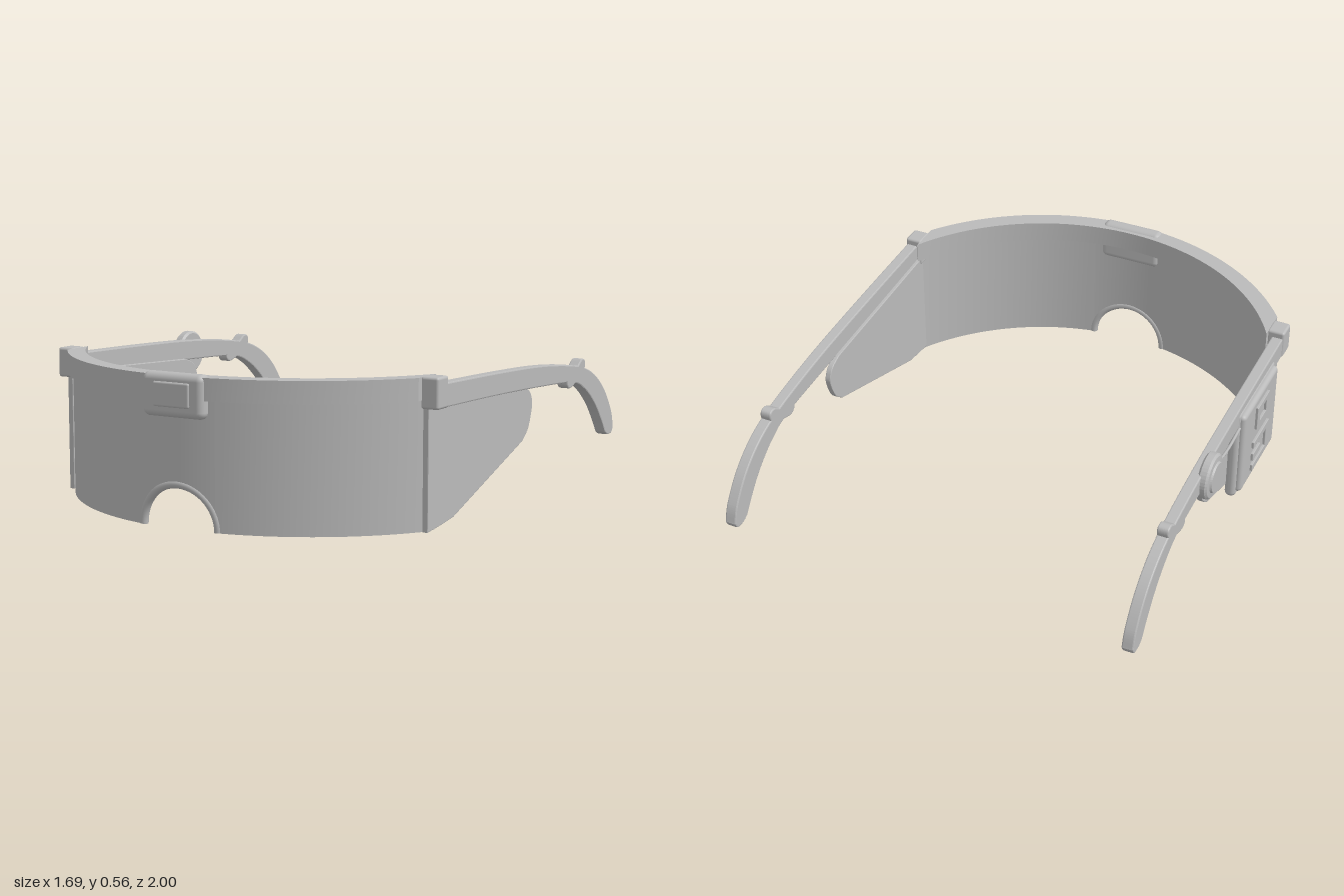
import * as THREE from 'three';
import { RoundedBoxGeometry } from 'three/addons/geometries/RoundedBoxGeometry.js';

const ARC_Z = 0.04;      // centre of the visor curve
const NOTCH = 0.155;     // nose notch radius

export function createModel() {
  const model = new THREE.Group();
  model.name = 'visorGlasses';
  const body = new THREE.Group();
  body.name = 'visorBody';
  body.position.x = 0.015;
  model.add(body);
  const grey = new THREE.MeshStandardMaterial({ color: 0xbababa });
  grey.name = 'matte grey';

  const add = (name, geo, x = 0, y = 0, z = 0) => {
    const m = new THREE.Mesh(geo, grey);
    m.name = name;
    m.position.set(x, y, z);
    body.add(m);
    return m;
  };
  const block = (name, x0, x1, y0, y1, z0, z1, r = 0.01) =>
    add(name, new RoundedBoxGeometry(x1 - x0, y1 - y0, z1 - z0, 3, r),
      (x0 + x1) / 2, (y0 + y1) / 2, (z0 + z1) / 2);

  // Box bent round the visor curve, with one column per x sample
  const bentBand = (xs, rIn, rOut, bottom, top) => {
    const n = xs.length - 1;
    const geo = new THREE.BoxGeometry(1, 1, 1, n, 1, 1);
    const p = geo.attributes.position;
    for (let i = 0; i < p.count; i++) {
      const x = xs[Math.round((p.getX(i) + 0.5) * n)];
      const r = p.getZ(i) > 0 ? rOut : rIn;
      p.setXYZ(i, x, p.getY(i) > 0 ? top : bottom(x), ARC_Z + Math.sqrt(r * r - x * x));
    }
    geo.computeVertexNormals();
    return geo;
  };
  const arcSamples = (half, n, r) => {
    const a = Math.asin(half / r);
    return Array.from({ length: n + 1 }, (_, i) => r * Math.sin(-a + (2 * a * i) / n));
  };

  // Curved lens with an arched nose notch
  const xs = arcSamples(0.78, 48, 0.925).filter((x) => Math.abs(x) > NOTCH + 0.004);
  for (let i = 0; i <= 28; i++) xs.push(-NOTCH * Math.cos((Math.PI * i) / 28));
  xs.sort((a, b) => a - b);
  add('lens', bentBand(xs, 0.903, 0.925,
    (x) => Math.sqrt(Math.max(0, NOTCH * NOTCH - x * x)), 0.48));

  // Raised rim around the notch
  const rim = [];
  for (let i = 0; i <= 24; i++) {
    const a = (Math.PI * i) / 24;
    const x = -0.16 * Math.cos(a);
    rim.push(new THREE.Vector3(x, 0.16 * Math.sin(a), ARC_Z + Math.sqrt(0.914 ** 2 - x * x)));
  }
  add('noseRim', new THREE.TubeGeometry(new THREE.CatmullRomCurve3(rim), 48, 0.016, 10));

  // Brow bar
  add('browBar', bentBand(arcSamples(0.765, 56, 0.94), 0.877, 0.945, () => 0.468, 0.55));

  // Front badge: housing, raised frame and inset panel
  block('badgeHousing', -0.13, 0.13, 0.4, 0.558, 0.925, 0.992, 0.025);
  block('badgePanel', -0.077, 0.077, 0.438, 0.528, 0.98, 0.998, 0.008);

  // Side profiles are drawn as (-z, y) and extruded along x
  const sidePlate = (name, shape, x0, x1, bevel = 0.005) => {
    const geo = new THREE.ExtrudeGeometry(shape, {
      depth: x1 - x0 - 2 * bevel, bevelEnabled: true, bevelThickness: bevel,
      bevelSize: bevel, bevelOffset: -bevel, bevelSegments: 2, curveSegments: 10,
    });
    geo.rotateY(Math.PI / 2);
    return add(name, geo, x0 + bevel);
  };
  const v = (z, y) => new THREE.Vector2(-z, y);

  // Temple arm with a hooked, rounded ear end
  const arm = new THREE.Shape();
  arm.moveTo(-0.53, 0.44);
  arm.splineThru([v(0.1, 0.43), v(-0.3, 0.414), v(-0.58, 0.395), v(-0.7, 0.355),
    v(-0.8, 0.285), v(-0.87, 0.21), v(-0.915, 0.15)]);
  arm.splineThru([v(-0.945, 0.136), v(-0.985, 0.14), v(-1, 0.165)]);
  arm.splineThru([v(-0.975, 0.235), v(-0.9, 0.33), v(-0.8, 0.402), v(-0.68, 0.446),
    v(-0.5, 0.475), v(-0.25, 0.498), v(0.1, 0.514), v(0.53, 0.527)]);
  arm.closePath();

  // Small grip nubs above and below the arm
  const topNub = new THREE.Shape();
  topNub.moveTo(0.58, 0.44);
  topNub.splineThru([v(-0.625, 0.453), v(-0.665, 0.478), v(-0.692, 0.476), v(-0.7, 0.455), v(-0.69, 0.42)]);
  topNub.closePath();
  const lowNub = new THREE.Shape();
  lowNub.moveTo(0.53, 0.42);
  lowNub.splineThru([v(-0.53, 0.39), v(-0.55, 0.376), v(-0.58, 0.38), v(-0.63, 0.4), v(-0.64, 0.42)]);
  lowNub.closePath();

  // Tapering side shield
  const shield = new THREE.Shape();
  shield.moveTo(-0.565, 0);
  shield.splineThru([v(0.46, 0.01), v(0.37, 0.022)]);
  shield.lineTo(0.2, 0.215);
  shield.splineThru([v(-0.25, 0.26), v(-0.28, 0.335), v(-0.275, 0.375), v(-0.25, 0.405), v(-0.2, 0.425)]);
  shield.lineTo(-0.565, 0.465);
  shield.closePath();

  for (const [side, s] of [['left', 1], ['right', -1]]) {
    const at = (a, b) => (s > 0 ? [a, b] : [-b, -a]);
    sidePlate(side + 'Arm', arm, ...at(0.78, 0.825));
    sidePlate(side + 'UpperNub', topNub, ...at(0.78, 0.825));
    sidePlate(side + 'LowerNub', lowNub, ...at(0.78, 0.825));
    sidePlate(side + 'Shield', shield, ...at(0.767, 0.79), 0.003);
    block(side + 'Hinge', ...at(0.76, 0.83), 0.438, 0.552, 0.492, 0.572, 0.01);
  }

  // Electronics pod on the right side
  block('podBase', -0.83, -0.785, 0.09, 0.49, 0.005, 0.41, 0.02);
  block('podCover', -0.848, -0.81, 0.11, 0.475, 0.02, 0.395, 0.018);
  block('podFoot', -0.825, -0.8, 0.072, 0.12, 0.16, 0.24, 0.01);

  // Raised square ring and abstract ribs on the pod cover
  const ring = new THREE.Shape();
  ring.moveTo(-0.27, 0.34);
  for (const [z, y] of [[0.14, 0.34], [0.14, 0.44], [0.27, 0.44]]) ring.lineTo(-z, y);
  ring.closePath();
  const hole = new THREE.Path();
  hole.moveTo(-0.24, 0.365);
  for (const [z, y] of [[0.24, 0.415], [0.17, 0.415], [0.17, 0.365]]) hole.lineTo(-z, y);
  hole.closePath();
  ring.holes.push(hole);
  sidePlate('podRing', ring, -0.858, -0.845, 0.002);
  for (const [y0, y1, z0, z1] of [[0.15, 0.18, 0.12, 0.29], [0.15, 0.29, 0.26, 0.29],
    [0.26, 0.29, 0.12, 0.29], [0.2, 0.235, 0.12, 0.2]]) {
    block('podRib', -0.858, -0.845, y0, y1, z0, z1, 0.003);
  }

  // Round sensor on the right arm, with its cable
  const discProfile = [[0, -0.025], [0.08, -0.025], [0.088, -0.017], [0.088, 0.008],
    [0.08, 0.016], [0.06, 0.018], [0.055, 0.025], [0, 0.025]].map(([r, h]) => new THREE.Vector2(r, h));
  const disc = add('sensorDisc', new THREE.LatheGeometry(discProfile, 40).toNonIndexed(), -0.835, 0.44, -0.31);
  disc.geometry.computeVertexNormals();
  disc.rotation.z = Math.PI / 2;
  const cable = new THREE.CatmullRomCurve3([[-0.832, 0.44, -0.24], [-0.832, 0.425, -0.12], [-0.826, 0.42, 0.03]]
    .map((p) => new THREE.Vector3(...p)));
  add('sensorCable', new THREE.TubeGeometry(cable, 16, 0.006, 8));

  return model;
}
